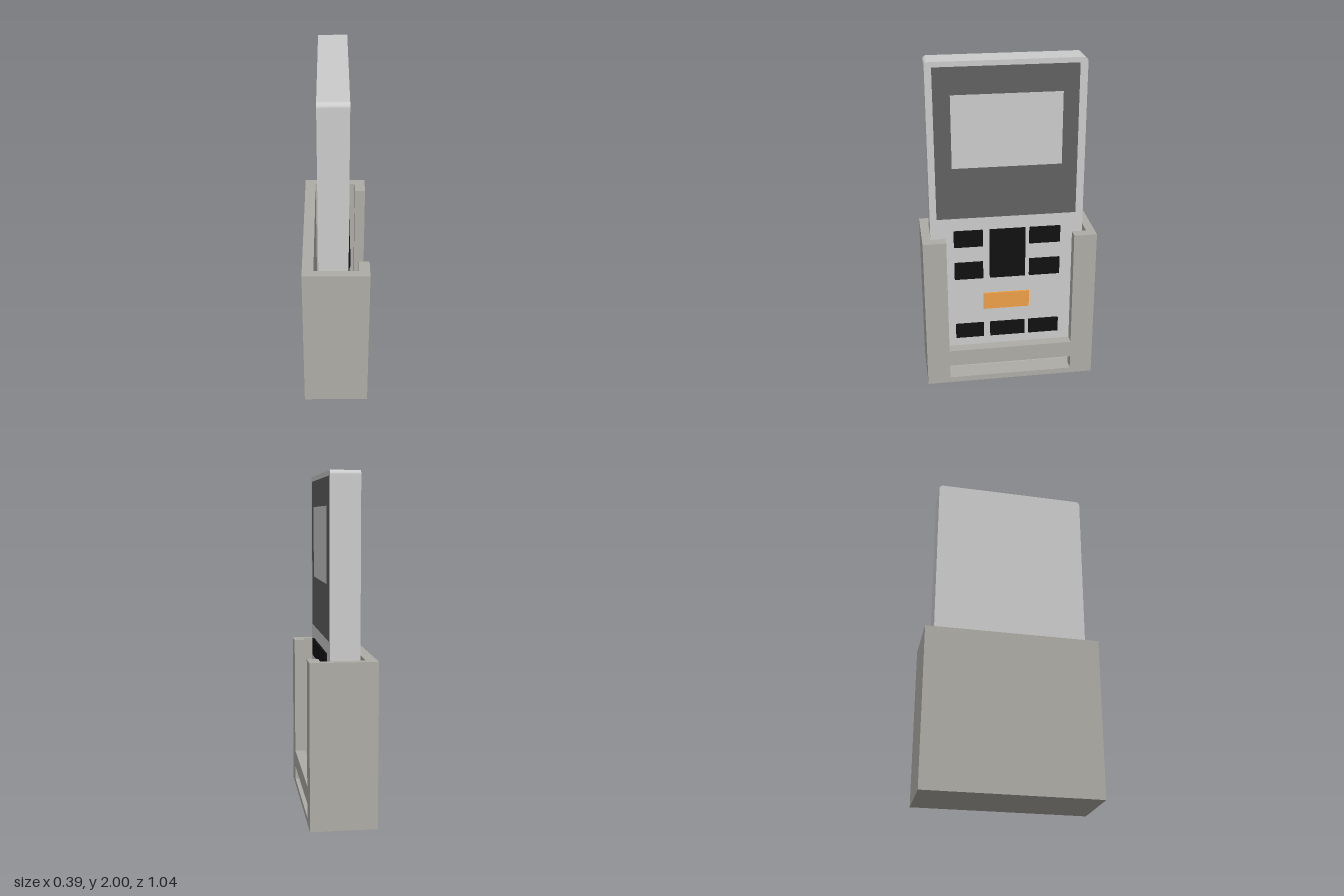
import * as THREE from 'three';

const mat = (color) => new THREE.MeshStandardMaterial({ color });

// Closed outline from [u, y] points, where u runs along -z
function outline(points, Type = THREE.Shape) {
  return new Type(points.map(([u, y]) => new THREE.Vector2(u, y)));
}

function rect(u0, u1, y0, y1) {
  return [[u0, y0], [u1, y0], [u1, y1], [u0, y1]];
}

function roundedRect(u0, u1, y0, y1, r) {
  const s = new THREE.Shape();
  s.absarc(u1 - r, y0 + r, r, -Math.PI / 2, 0);
  s.absarc(u1 - r, y1 - r, r, 0, Math.PI / 2);
  s.absarc(u0 + r, y1 - r, r, Math.PI / 2, Math.PI);
  s.absarc(u0 + r, y0 + r, r, Math.PI, Math.PI * 1.5);
  s.closePath();
  return s;
}

// Slab with the given side outline, spanning x0 to x1
function slab(name, shape, x0, x1, material) {
  const geo = new THREE.ExtrudeGeometry(shape, { depth: x1 - x0, bevelEnabled: false, curveSegments: 6 });
  geo.rotateY(Math.PI / 2).translate(x0, 0, 0);
  const mesh = new THREE.Mesh(geo, material);
  mesh.name = name;
  return mesh;
}

export function createModel() {
  const model = new THREE.Group();
  model.name = 'handheldInHolder';
  const grey = mat(0xcccccc);
  const holderMat = mat(0xaeaca6);
  const panelMat = mat(0x616161);
  const black = mat(0x101010);
  const orange = mat(0xec9f47);

  // Holder: back wall, U-shaped frame, and front wall with window and slot
  const holder = new THREE.Group();
  holder.name = 'holder';
  const W = 0.518, H = 0.96, floor = 0.035;
  const uShape = (inner, sill) => outline([
    [-W, 0], [W, 0], [W, H], [inner, H], [inner, sill], [-inner, sill], [-inner, H], [-W, H],
  ]);
  const frontShape = uShape(0.38, 0.225);
  frontShape.holes.push(outline(rect(-0.38, 0.38, floor, 0.12), THREE.Path));
  holder.add(
    slab('holderBack', outline(rect(-W, W, 0, H)), -0.194, -0.128, holderMat),
    slab('holderFrame', uShape(0.466, floor), -0.128, 0.127, holderMat),
    slab('holderFront', frontShape, 0.127, 0.192, holderMat),
  );
  model.add(holder);

  // Device body, display panel and screen
  const device = new THREE.Group();
  device.name = 'device';
  const face = 0.07;
  device.add(
    slab('deviceBody', roundedRect(-0.465, 0.455, floor, 2, 0.025), -0.1, face, grey),
    slab('displayPanel', outline(rect(-0.425, 0.41, 1.06, 1.97)), face, face + 0.001, panelMat),
    slab('screen', outline(rect(-0.327, 0.318, 1.375, 1.81)), face, face + 0.002, grey),
  );

  // Keypad: three columns, with one tall key between the upper rows
  const columns = [[-0.327, -0.153], [-0.112, 0.105], [0.13, 0.318]];
  const key = (name, [u0, u1], y0, y1, m) =>
    device.add(slab(name, outline(rect(u0, u1, y0, y1)), face, face + 0.013, m));
  for (const col of [columns[0], columns[2]]) {
    key('upperKey', col, 0.875, 0.98, black);
    key('middleKey', col, 0.66, 0.77, black);
  }
  key('tallKey', columns[1], 0.66, 0.98, black);
  columns.forEach((col) => key('lowerKey', col, 0.25, 0.345, black));
  key('orangeKey', [-0.153, 0.13], 0.445, 0.552, orange);
  model.add(device);

  return model;
}
